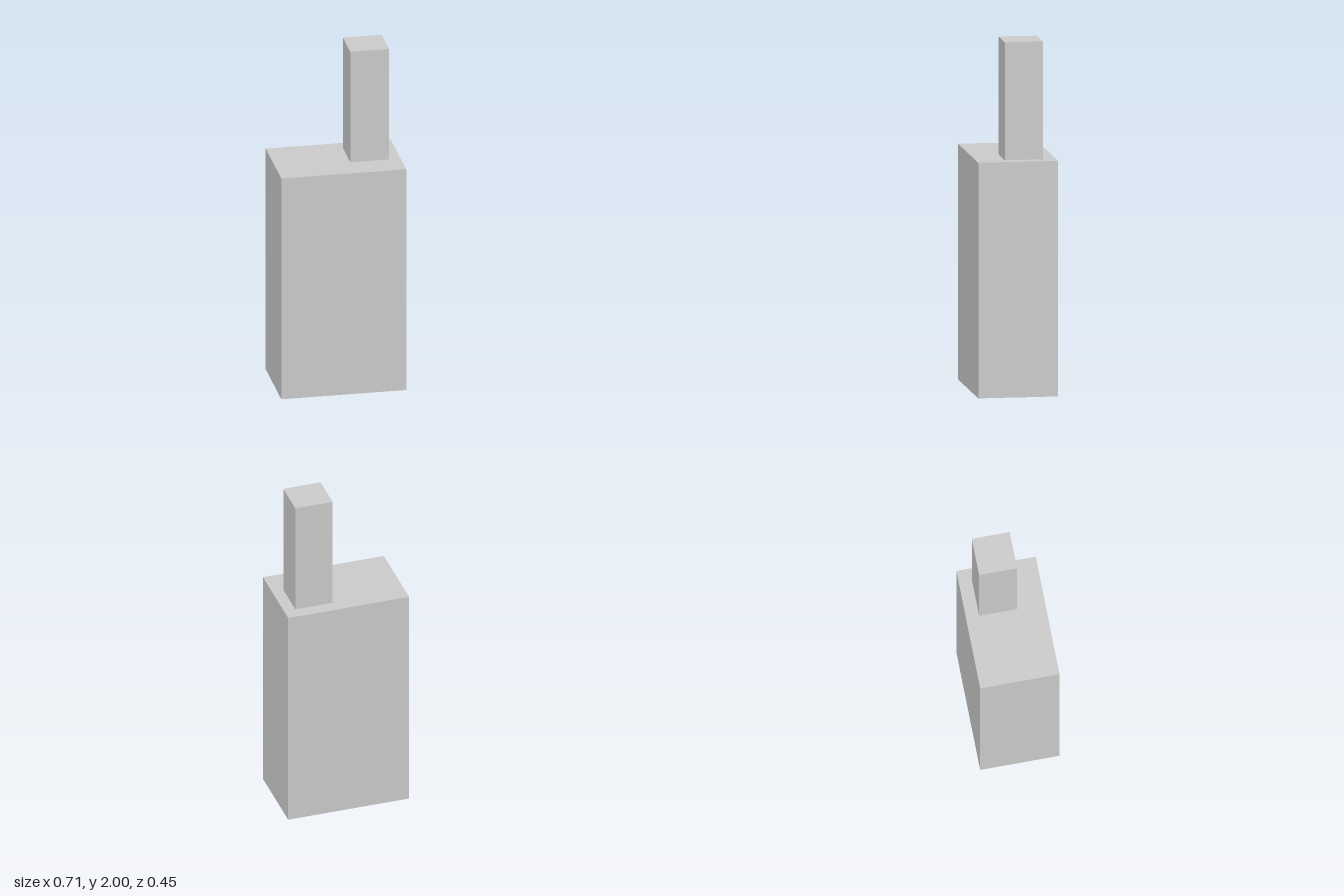
import * as THREE from 'three';

export function createModel() {
  const model = new THREE.Group();
  model.name = 'blockWithTower';
  const grey = new THREE.MeshStandardMaterial({ color: 0xcccccc, flatShading: true });

  // Box standing on height y, centred on (x, z)
  const addBox = (name, [w, h, d], [x, y, z]) => {
    const mesh = new THREE.Mesh(new THREE.BoxGeometry(w, h, d), grey);
    mesh.name = name;
    mesh.position.set(x, y + h / 2, z);
    model.add(mesh);
  };

  const bodyHeight = 1.333;

  // Main block
  addBox('body', [0.712, bodyHeight, 0.452], [0, 0, 0]);

  // Slim square tower, off-centre on the top
  addBox('tower', [0.22, 2 - bodyHeight, 0.216], [0.179, bodyHeight, -0.043]);

  return model;
}
